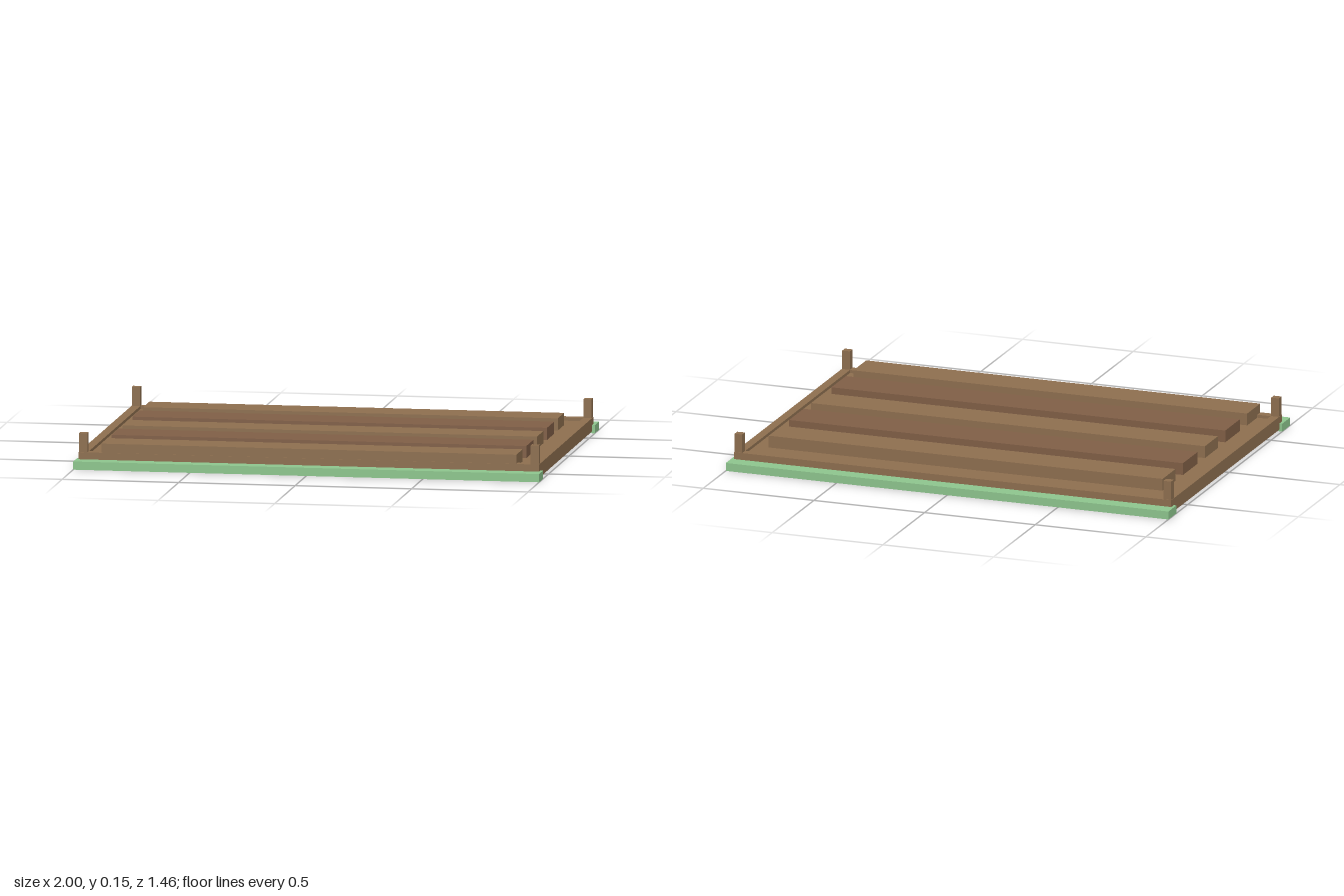
import * as THREE from 'three';

export function createModel() {
  const model = new THREE.Group();
  const material = (color) => new THREE.MeshStandardMaterial({ color });
  const wood = material(0x8f7050);
  const darkSoil = material(0x826047);
  const grass = material(0x8fc88f);

  // Box given by its limits on each axis
  function box(name, mat, [x0, x1], [y0, y1], [z0, z1]) {
    const mesh = new THREE.Mesh(new THREE.BoxGeometry(x1 - x0, y1 - y0, z1 - z0), mat);
    mesh.position.set((x0 + x1) / 2, (y0 + y1) / 2, (z0 + z1) / 2);
    mesh.name = name;
    model.add(mesh);
  }
  const span = (centre, size) => [centre - size / 2, centre + size / 2];

  // Soil bed inside the frame
  box('soilBed', wood, [-0.955, 0.955], [0, 0.052], [-0.635, 0.635]);

  for (const s of [-1, 1]) {
    const end = s > 0 ? 'Front' : 'Back';
    const side = s > 0 ? 'Left' : 'Right';
    // Grass borders, end rails and side rails
    box('grassBorder' + end, grass, [-1, 1], [0, 0.035], span(s * 0.682, 0.096));
    box('rail' + end, wood, [-0.988, 0.988], [0.008, 0.065], span(s * 0.645, 0.038));
    box('rail' + side, wood, span(s * 0.969, 0.038), [0.008, 0.065], [-0.626, 0.626]);
    // Corner posts
    for (const t of [-1, 1]) {
      box('cornerPost', wood, span(s * 0.969, 0.035), [0.008, 0.146], span(t * 0.645, 0.033));
    }
  }

  // Raised planting rows, alternating narrow and wide
  for (let i = 0; i < 5; i++) {
    const wide = i % 2 === 1;
    box('plantingRow', wide ? darkSoil : wood, [-0.89, 0.89], [0.045, 0.104],
      span(-0.43 + i * 0.2535, wide ? 0.174 : 0.155));
  }

  return model;
}
